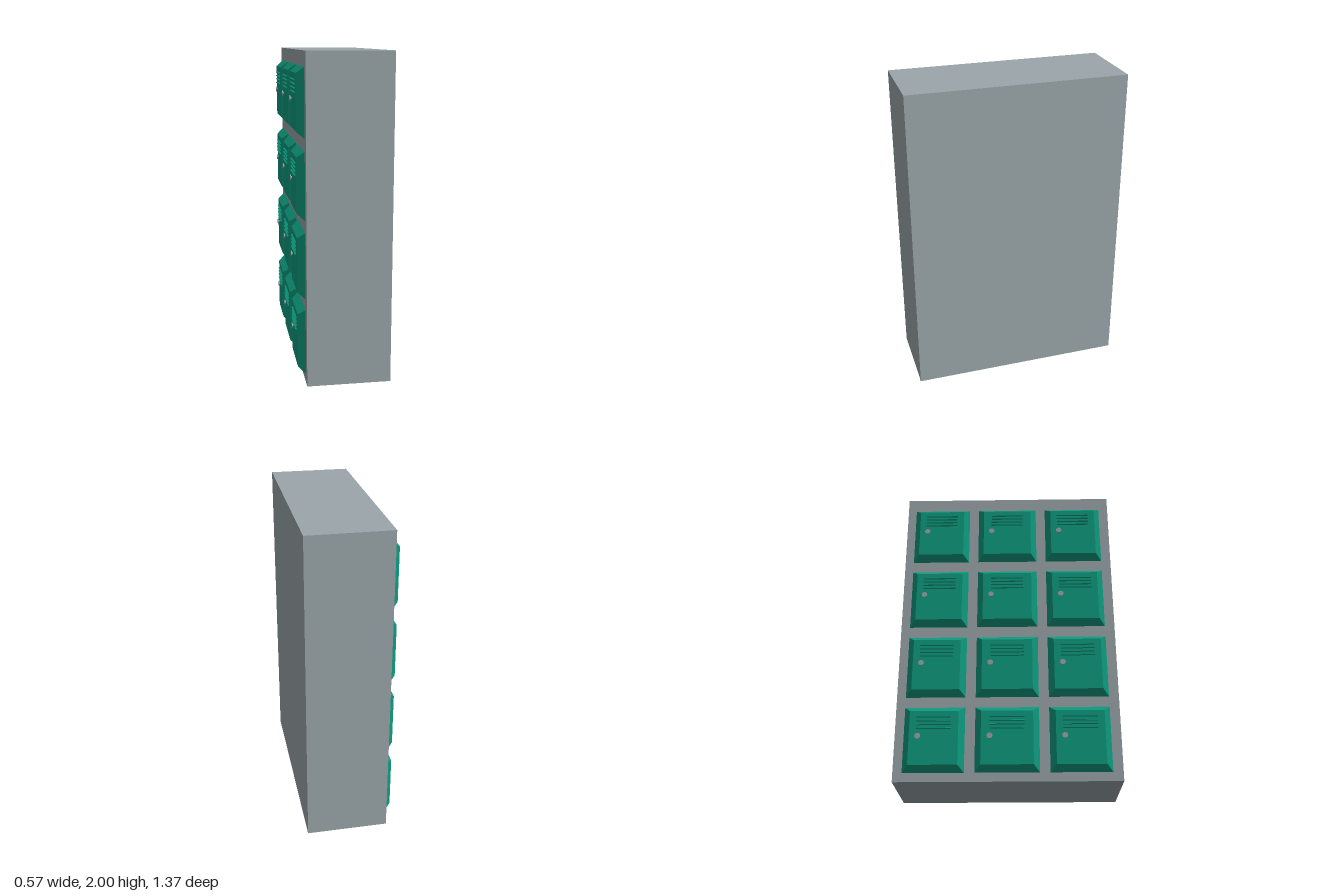
import * as THREE from 'three';

export function createModel() {
  const model = new THREE.Group();
  model.name = 'lockerCabinet';
  const grey = new THREE.MeshStandardMaterial({ name: 'steelGrey', color: 0x9ba6aa });
  const green = new THREE.MeshStandardMaterial({ name: 'doorGreen', color: 0x0d9b7e });

  const add = (parent, name, geometry, material, x, y, z) => {
    const mesh = new THREE.Mesh(geometry, material);
    mesh.name = name;
    mesh.position.set(x, y, z);
    parent.add(mesh);
    return mesh;
  };

  // Cabinet body
  add(model, 'cabinet', new THREE.BoxGeometry(0.515, 2, 1.37), grey, 0.0275, 1, 0);

  // Door panel: a box whose outer (-x) face is drawn in to give sloping sides
  const bevelledPanel = (depth, height, width, inset) => {
    const geometry = new THREE.BoxGeometry(depth, height, width);
    const p = geometry.attributes.position;
    for (let i = 0; i < p.count; i++) {
      if (p.getX(i) < 0) {
        p.setY(i, p.getY(i) - Math.sign(p.getY(i)) * inset);
        p.setZ(i, p.getZ(i) - Math.sign(p.getZ(i)) * inset);
      }
    }
    geometry.computeVertexNormals();
    return geometry;
  };

  const slat = new THREE.BoxGeometry(0.012, 0.006, 0.21);
  const stem = new THREE.CylinderGeometry(0.009, 0.009, 0.008, 12).rotateZ(Math.PI / 2);
  const cap = new THREE.CylinderGeometry(0.018, 0.018, 0.005, 16).rotateZ(Math.PI / 2);

  // Four rows of three doors along the -x side
  const columns = [[-0.445, 0.37], [-0.003, 0.39], [0.439, 0.37]];
  const rows = [0.26, 0.737, 1.22, 1.705];
  for (const [z, width] of columns) {
    const panel = bevelledPanel(0.045, 0.41, width, 0.037);
    for (const y of rows) {
      const door = new THREE.Group();
      door.name = 'door';
      door.position.set(-0.275, y, z);
      model.add(door);
      add(door, 'doorPanel', panel, green, 0.0225, 0, 0);
      // Ventilation slats
      for (let i = 0; i < 4; i++) {
        add(door, 'ventSlat', slat, green, -0.003, 0.128 - i * 0.024, 0).rotation.z = 0.4;
      }
      // Round knob near the opening edge
      const knobZ = -width / 2 + 0.09;
      add(door, 'knobStem', stem, grey, -0.004, 0.008, knobZ);
      add(door, 'knobCap', cap, grey, -0.0085, 0.008, knobZ);
    }
  }
  return model;
}
